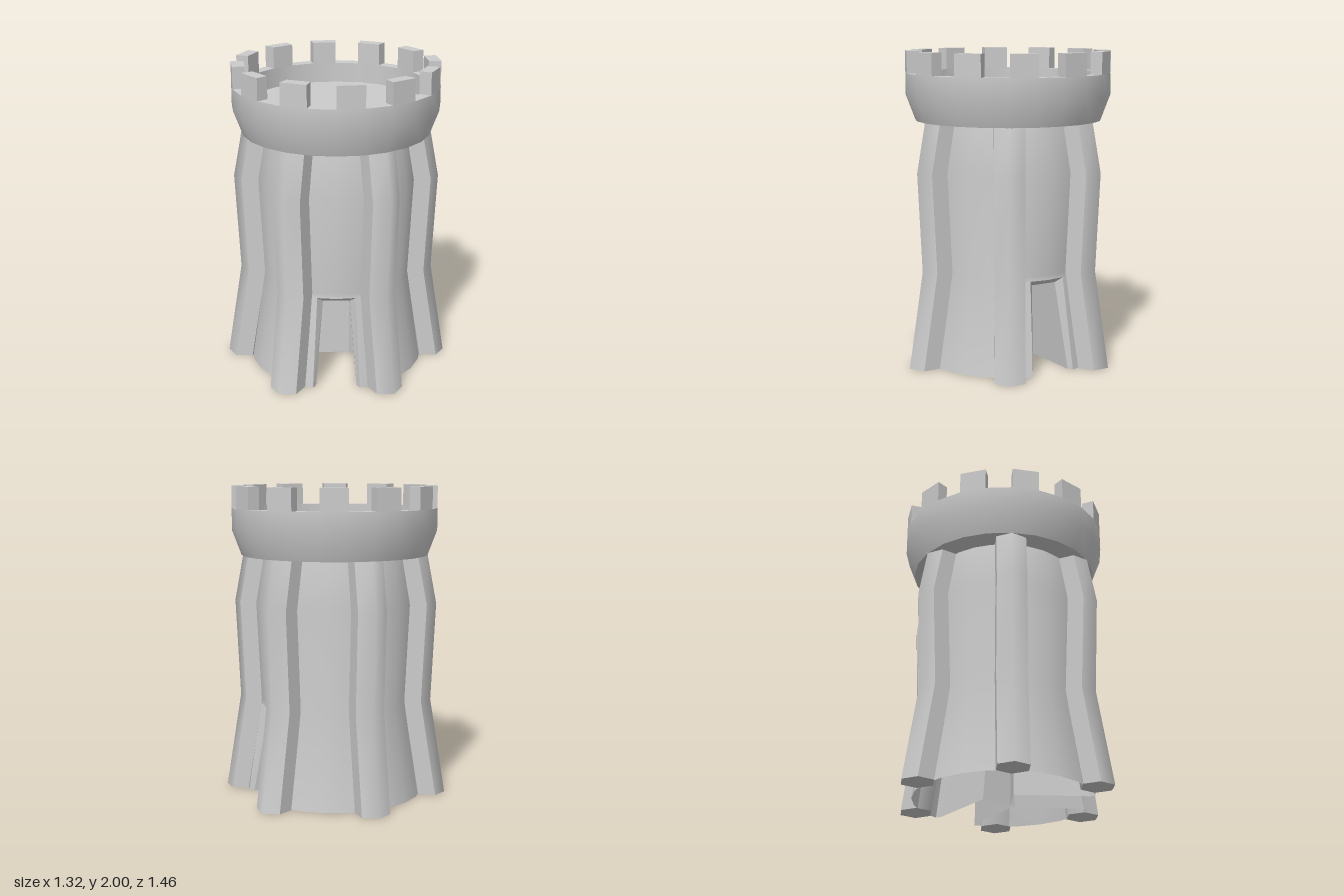
import * as THREE from 'three';

const V = (x, y, z) => new THREE.Vector3(x, y, z);
const rad = THREE.MathUtils.degToRad;
const lerp = THREE.MathUtils.lerp;
const grey = new THREE.MeshStandardMaterial({ color: 0xcccccc });
const greyOpen = new THREE.MeshStandardMaterial({ color: 0xcccccc, side: THREE.DoubleSide });
const greyFlat = new THREE.MeshStandardMaterial({ color: 0xcccccc, side: THREE.DoubleSide, flatShading: true });

// Heights of the bends, with the wall radius and the buttress axis distance at each
const LEVELS = [0, 0.62, 1.25, 1.57];
const WALL = [0.57, 0.48, 0.51, 0.455];
const AXIS = [0.62, 0.52, 0.55, 0.49];
const DOOR = { bottom: 0.15, top: 0.12, height: 0.59 };

function wallRadius(y) {
  let i = 0;
  while (i < LEVELS.length - 2 && y > LEVELS[i + 1]) i++;
  return lerp(WALL[i], WALL[i + 1], (y - LEVELS[i]) / (LEVELS[i + 1] - LEVELS[i]));
}

function mesh(name, geometry, material = grey) {
  const m = new THREE.Mesh(geometry, material);
  m.name = name;
  return m;
}

// Smooth surface through rows of points; rows go up, points go right
function grid(rows) {
  const n = rows[0].length;
  const index = [];
  for (let i = 0; i < rows.length - 1; i++) {
    for (let j = 0; j < n - 1; j++) {
      const a = i * n + j;
      index.push(a, a + 1, a + n + 1, a, a + n + 1, a + n);
    }
  }
  const g = new THREE.BufferGeometry().setFromPoints(rows.flat());
  g.setIndex(index);
  g.computeVertexNormals();
  return g;
}

// Curved wall patch between two angle rules
function wallPatch(ys, from, to, steps) {
  return grid(ys.map((y) => {
    const row = [];
    for (let j = 0; j <= steps; j++) {
      const a = lerp(from(y), to(y), j / steps);
      const r = wallRadius(y);
      row.push(V(r * Math.sin(a), y, r * Math.cos(a)));
    }
    return row;
  }));
}

// One sixth of the tower wall, with or without a doorway
function wallPanel(hasDoor) {
  const group = new THREE.Group();
  group.name = hasDoor ? 'doorPanel' : 'wallPanel';
  const half = rad(30);
  const left = () => -half;
  const right = () => half;
  if (!hasDoor) {
    group.add(mesh('wall', wallPatch(LEVELS, left, right, 4), greyOpen));
    return group;
  }
  const edge = (y) => Math.asin(lerp(DOOR.bottom, DOOR.top, y / DOOR.height) / wallRadius(y));
  const low = [0, DOOR.height / 2, DOOR.height];
  group.add(mesh('wallBesideDoor', wallPatch(low, left, (y) => -edge(y), 2), greyOpen));
  group.add(mesh('wallBesideDoor', wallPatch(low, edge, right, 2), greyOpen));
  group.add(mesh('wallAboveDoor', wallPatch([DOOR.height, ...LEVELS.slice(1)], left, right, 4), greyOpen));

  // Sloped frame leading into a tapered passage with a back wall
  const section = (w0, w1, h, z0, z1) => [V(-w0, 0, z0), V(-w1, h, z1), V(w1, h, z1), V(w0, 0, z0)];
  const onWall = (w, y) => Math.sqrt(wallRadius(y) ** 2 - w * w);
  const outer = section(DOOR.bottom, DOOR.top, DOOR.height, onWall(DOOR.bottom, 0), onWall(DOOR.top, DOOR.height));
  const inner = section(0.13, 0.085, 0.555, 0.52, 0.43);
  const back = section(0.12, 0.08, 0.52, 0.05, 0.05);
  group.add(mesh('doorFrame', grid([outer, inner]), greyFlat));
  group.add(mesh('doorPassage', grid([inner, back]), greyFlat));
  group.add(mesh('doorBack', grid([[back[0], back[3]], [back[1], back[2]]]), greyFlat));
  return group;
}

// Bent six-sided buttress, rounded over its outer ridge
function buttress() {
  const group = new THREE.Group();
  group.name = 'buttress';
  const r = 0.11;
  for (const angles of [[-60, 0, 60], [60, 120], [120, 180, 240], [240, 300]]) {
    const rows = LEVELS.map((y, i) => angles.map((d) => V(r * Math.sin(rad(d)), y, AXIS[i] + r * Math.cos(rad(d)))));
    group.add(mesh('buttressSide', grid(rows)));
  }
  const foot = new THREE.CircleGeometry(r, 6, Math.PI / 2).rotateX(Math.PI / 2).translate(0, 0, AXIS[0]);
  group.add(mesh('buttressFoot', foot));
  return group;
}

function ring(name, ...profile) {
  return mesh(name, new THREE.LatheGeometry(profile.map(([x, y]) => new THREE.Vector2(x, y)), 24));
}

// Widened battlement with a sunken floor and twelve merlons
function crown() {
  const group = new THREE.Group();
  group.name = 'crown';
  group.add(
    ring('crownUnderside', [0, 1.56], [0.6, 1.56]),
    ring('crownOuterWall', [0.6, 1.56], [0.66, 1.72], [0.66, 1.86]),
    ring('crownRim', [0.66, 1.86], [0.58, 1.86]),
    ring('crownInnerWall', [0.58, 1.86], [0.58, 1.73]),
    ring('crownFloor', [0.58, 1.73], [0, 1.73]),
  );
  const at = (r, d) => new THREE.Vector2(r * Math.sin(rad(d)), -r * Math.cos(rad(d)));
  const shape = new THREE.Shape([at(0.66, 0), at(0.66, 15), at(0.58, 15), at(0.58, 0)]);
  const block = new THREE.ExtrudeGeometry(shape, { depth: 0.14, bevelEnabled: false })
    .rotateX(-Math.PI / 2).translate(0, 1.86, 0);
  for (let i = 0; i < 12; i++) {
    const merlon = mesh('merlon', block);
    merlon.rotation.y = rad(30 * i);
    group.add(merlon);
  }
  return group;
}

export function createModel() {
  const tower = new THREE.Group();
  tower.name = 'tower';
  for (let i = 0; i < 6; i++) {
    const post = buttress();
    post.rotation.y = rad(60 * i);
    const panel = wallPanel(i === 1 || i === 5);
    panel.rotation.y = rad(60 * i + 30);
    tower.add(post, panel);
  }
  tower.add(crown());
  return tower;
}
